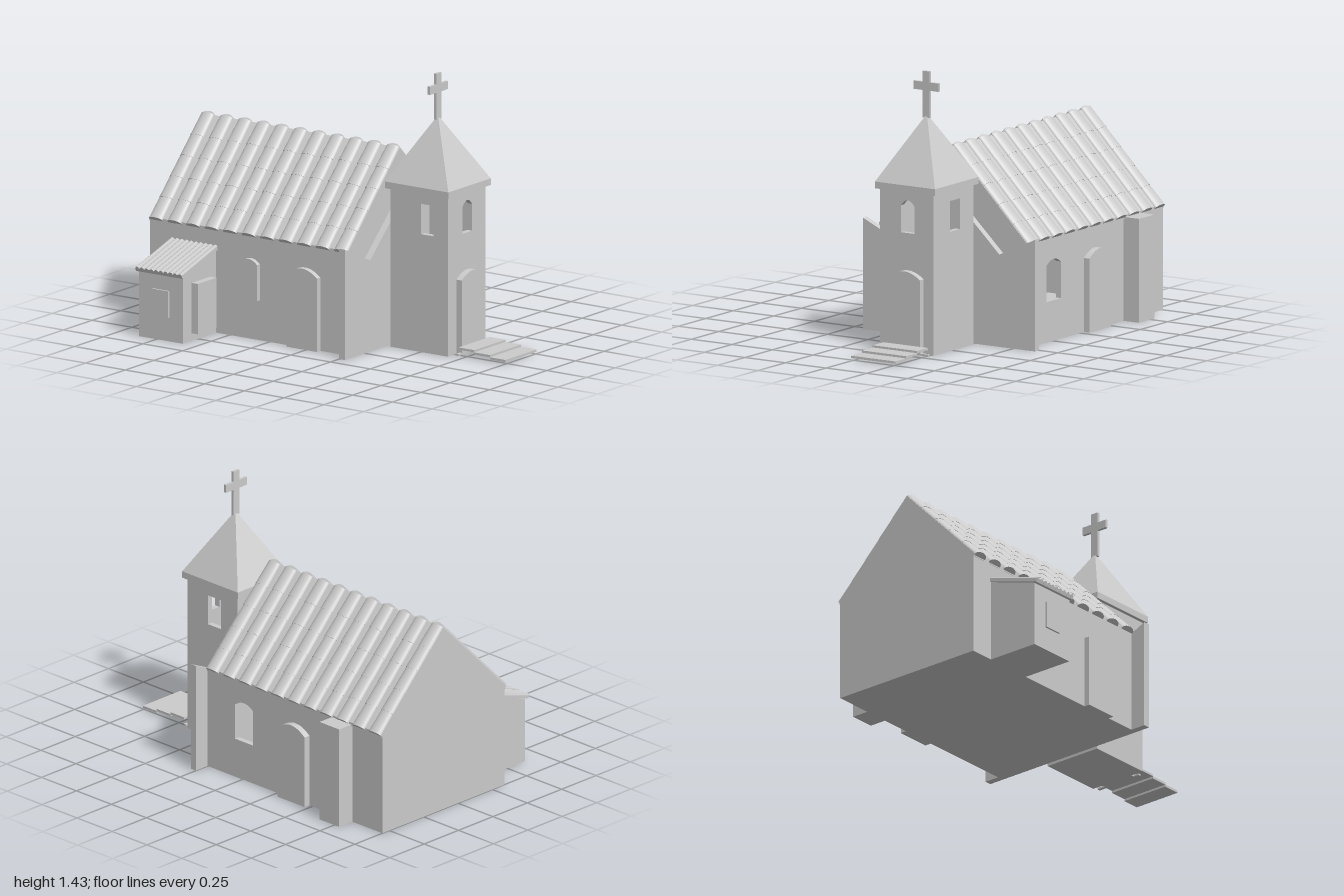
import * as THREE from 'three';

const CX = 0.105; // axis of the nave and tower

export function createModel() {
  const model = new THREE.Group();
  const mat = new THREE.MeshStandardMaterial({ color: 0xcccccc });

  const add = (name, geo, parent = model) => {
    const m = new THREE.Mesh(geo, mat);
    m.name = name;
    parent.add(m);
    return m;
  };
  const box = (name, x0, x1, y0, y1, z0, z1) =>
    add(name, new THREE.BoxGeometry(x1 - x0, y1 - y0, z1 - z0)
      .translate((x0 + x1) / 2, (y0 + y1) / 2, (z0 + z1) / 2));
  const poly = (pts) => new THREE.Shape(pts.map(([x, y]) => new THREE.Vector2(x, y)));
  const rect = (a, b, y0, y1) => poly([[a, y0], [b, y0], [b, y1], [a, y1]]);
  const arch = (a, b, y0, spring, top) => {
    const s = new THREE.Shape();
    s.moveTo(a, y0);
    s.lineTo(b, y0);
    s.lineTo(b, spring);
    s.quadraticCurveTo((a + b) / 2, 2 * top - spring, a, spring);
    s.closePath();
    return s;
  };
  const cut = (shape, hole) => { shape.holes.push(hole); return shape; };
  const extrude = (shape, depth) =>
    new THREE.ExtrudeGeometry(shape, { depth, bevelEnabled: false, curveSegments: 10 });
  // panel in the xy plane from z0 to z1
  const panelZ = (name, shape, z0, z1) => add(name, extrude(shape, z1 - z0).translate(0, 0, z0));
  // panel drawn in (z, y), from x0 to x1
  const panelX = (name, shape, x0, x1) =>
    add(name, extrude(shape, x1 - x0).rotateY(-Math.PI / 2).translate(x1, 0, 0));

  // --- Nave walls and floor
  const L = -0.34, R = 0.55, T = 0.03;
  const gable = () => poly([[L, 0], [R, 0], [R, 0.54], [CX, 0.98], [L, 0.54]]);
  panelZ('backGable', gable(), -1, -1 + T);
  panelZ('frontGable', gable(), 0.25 - T, 0.25);
  panelX('rightNaveWall', rect(-1 + T, 0.25 - T, 0, 0.55), L, L + T);
  panelX('leftNaveWall', cut(rect(-1 + T, 0.25 - T, 0, 0.55),
    arch(-0.075, 0.055, 0.21, 0.4, 0.425)), R - T, R);
  box('naveFloor', L + T, R - T, 0, 0.02, -1 + T, 0.25 - T);

  // --- Nave roof with rows of rounded tiles
  panelZ('naveRoof', poly([[L - 0.005, 0.55], [L - 0.005, 0.53], [CX, 0.975],
    [R + 0.005, 0.53], [R + 0.005, 0.55], [CX, 1.005]]), -1, 0.25);
  const slope = Math.hypot(0.45, 0.455), segs = 5, rows = 11;
  const segLen = slope / segs;
  const tileGeo = new THREE.CylinderGeometry(0.04, 0.043, segLen + 0.01, 20).scale(0.55, 1, 1);
  for (const side of [-1, 1]) {
    const tiles = new THREE.Group();
    tiles.name = side < 0 ? 'rightRoofTiles' : 'leftRoofTiles';
    tiles.position.set(CX, 1.0, 0);
    tiles.rotation.z = side * Math.atan2(0.45, 0.455);
    for (let r = 0; r < rows; r++) {
      for (let s = 0; s < segs; s++) {
        add('roofTile', tileGeo, tiles).position.set(0, -(s + 0.5) * segLen, 0.207 - r * 0.1164);
      }
    }
    model.add(tiles);
  }

  // --- Stepped facade wall
  panelZ('facade', poly([[-0.425, 0], [0.635, 0], [0.635, 0.58], [0.415, 0.48],
    [CX, 0.775], [-0.205, 0.48], [-0.425, 0.58]]), 0.25, 0.287);

  // --- Side doors, window slab and buttress
  panelX('leftDoor', arch(-0.478, -0.283, 0, 0.385, 0.425), R, 0.585);
  panelX('rightDoor', arch(-0.12, 0.07, 0, 0.385, 0.425), -0.37, L);
  panelX('rightWindow', arch(-0.42, -0.31, 0.21, 0.4, 0.425), -0.365, L);
  box('buttress', R, 0.645, 0, 0.54, -0.785, -0.645);

  // --- Hollow bell tower
  const tx0 = -0.06, tx1 = 0.27, tz0 = 0.31, tz1 = 0.67, top = 0.845;
  panelZ('towerFront', cut(rect(tx0, tx1, 0, top), arch(0.068, 0.152, 0.62, 0.76, 0.79)), tz1 - T, tz1);
  panelZ('towerBack', rect(tx0, tx1, 0, top), tz0, tz0 + T);
  panelX('towerLeftWall', cut(rect(tz0 + T, tz1 - T, 0, top), rect(0.43, 0.523, 0.62, 0.78)), tx1 - T, tx1);
  panelX('towerRightWall', cut(rect(tz0 + T, tz1 - T, 0, top), rect(0.502, 0.58, 0.62, 0.78)), tx0, tx0 + T);
  box('towerFloor', tx0 + T, tx1 - T, 0, 0.02, tz0 + T, tz1 - T);
  panelZ('towerDoor', arch(0.015, 0.208, 0, 0.39, 0.427), tz1, 0.705);

  // --- Tower roof and cross
  box('towerEaves', -0.08, 0.29, 0.835, 0.87, 0.29, 0.688);
  const spire = new THREE.ConeGeometry(Math.SQRT1_2, 0.34, 4, 1, false, Math.PI / 4)
    .toNonIndexed();
  spire.computeVertexNormals();
  spire.scale(0.37, 1, 0.398).translate(CX, 1.04, 0.489);
  spire.computeVertexNormals();
  add('spire', spire);
  box('crossPost', 0.083, 0.126, 1.19, 1.433, 0.481, 0.496);
  box('crossArm', 0.027, 0.181, 1.333, 1.376, 0.481, 0.496);

  // --- Entrance steps
  for (let i = 0; i < 3; i++) {
    const z = 0.706 + i * 0.098;
    box('step', -0.015, 0.258, 0.033 - i * 0.0115, 0.045 - i * 0.0115, z, z + 0.098);
  }
  box('stepFoot', -0.015, 0.258, 0, 0.01, 0.69, 0.706);

  // --- Side annex with lean-to ribbed roof
  panelZ('annex', poly([[-0.63, 0], [L, 0], [L, 0.435], [-0.63, 0.345]]), -0.86, -0.585);
  panelZ('annexRoof', poly([[-0.645, 0.345], [L, 0.435], [L, 0.455], [-0.65, 0.362]]), -0.87, -0.577);
  const ribLen = Math.hypot(0.31, 0.093);
  const ribGeo = new THREE.CylinderGeometry(0.012, 0.012, ribLen, 10);
  for (let i = 0; i < 10; i++) {
    const rib = add('annexRoofRib', ribGeo);
    rib.position.set(-0.495, 0.405, -0.858 + i * 0.0299);
    rib.rotation.z = -Math.atan2(0.31, 0.093);
  }
  box('annexDoor', -0.555, -0.392, 0.04, 0.305, -0.585, -0.545);
  box('annexWindow', -0.64, -0.63, 0.125, 0.265, -0.775, -0.67);

  return model;
}
